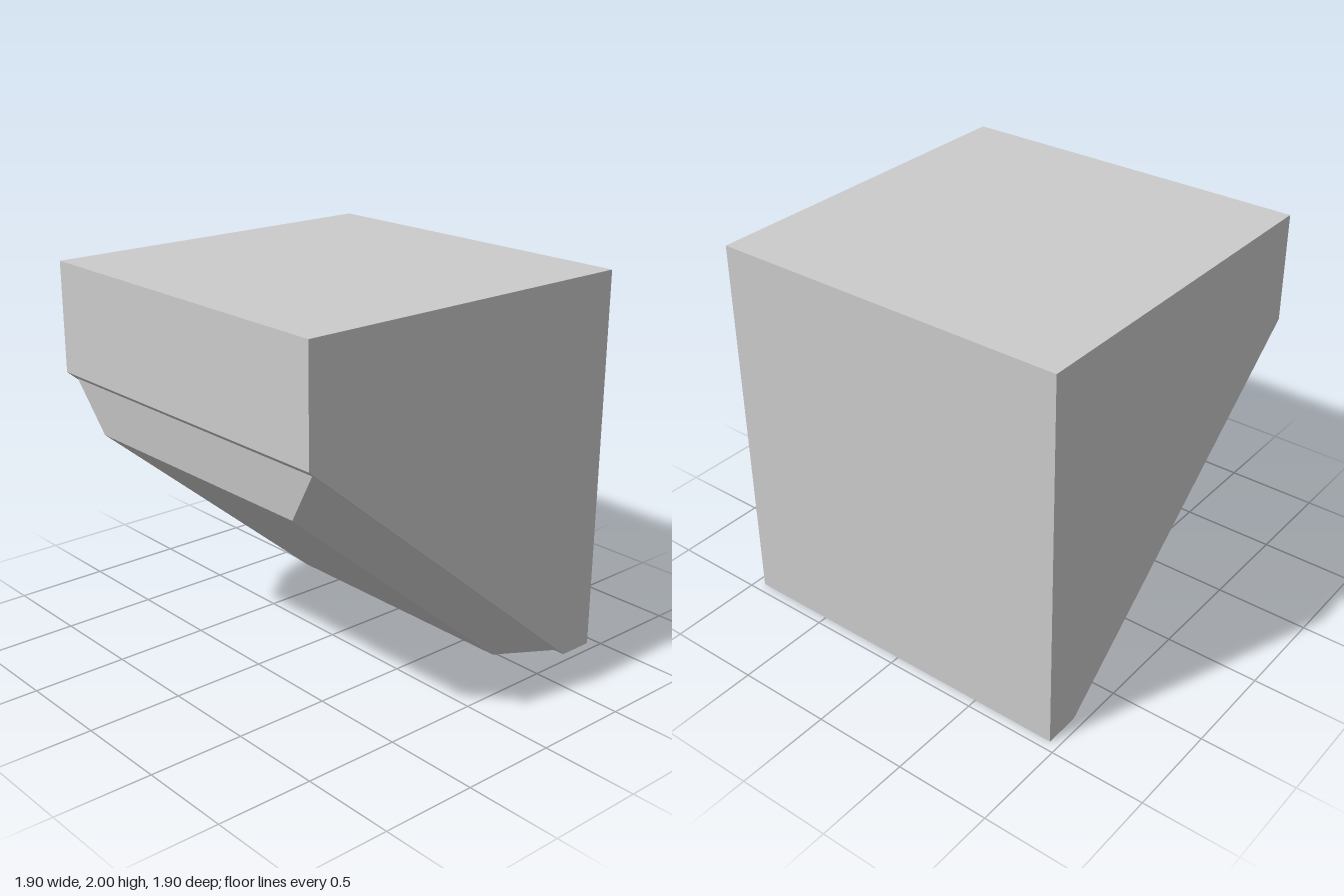
import * as THREE from 'three';

const material = new THREE.MeshStandardMaterial({ color: 0xcccccc, flatShading: true });

// Block with a sloped underside: side profile (z, y) extruded across x
function makeBody() {
  const profile = [[0.95, 2], [0.95, 1.43], [-0.76, 0], [-0.95, 0], [-0.95, 2]];
  const shape = new THREE.Shape(profile.map(([z, y]) => new THREE.Vector2(z, y)));
  const geometry = new THREE.ExtrudeGeometry(shape, { depth: 1.9, bevelEnabled: false });
  geometry.translate(0, 0, -0.95).rotateY(-Math.PI / 2);
  const mesh = new THREE.Mesh(geometry, material);
  mesh.name = 'body';
  return mesh;
}

// Four corners of a symmetric panel outline: top left, bottom left, bottom right, top right
function ring(topX, topY, topZ, bottomX, bottomY, bottomZ) {
  return [-topX, topY, topZ, -bottomX, bottomY, bottomZ, bottomX, bottomY, bottomZ, topX, topY, topZ];
}

// Raised panel with bevelled sides, lying on the slope
function makePanel() {
  const inner = ring(0.92, 1.395, 0.908, 0.93, 0.03, -0.724);
  const outer = ring(0.745, 1.13, 0.875, 0.745, 0.025, -0.445);
  const index = [4, 5, 6, 4, 6, 7];
  for (let i = 0; i < 4; i++) {
    const j = (i + 1) % 4;
    index.push(i, j, j + 4, i, j + 4, i + 4);
  }
  const indexed = new THREE.BufferGeometry();
  indexed.setAttribute('position', new THREE.Float32BufferAttribute([...inner, ...outer], 3));
  indexed.setIndex(index);
  const geometry = indexed.toNonIndexed();
  geometry.computeVertexNormals();
  const mesh = new THREE.Mesh(geometry, material);
  mesh.name = 'slopedPanel';
  return mesh;
}

export function createModel() {
  const group = new THREE.Group();
  group.name = 'wedgeBlock';
  group.add(makeBody(), makePanel());
  return group;
}
